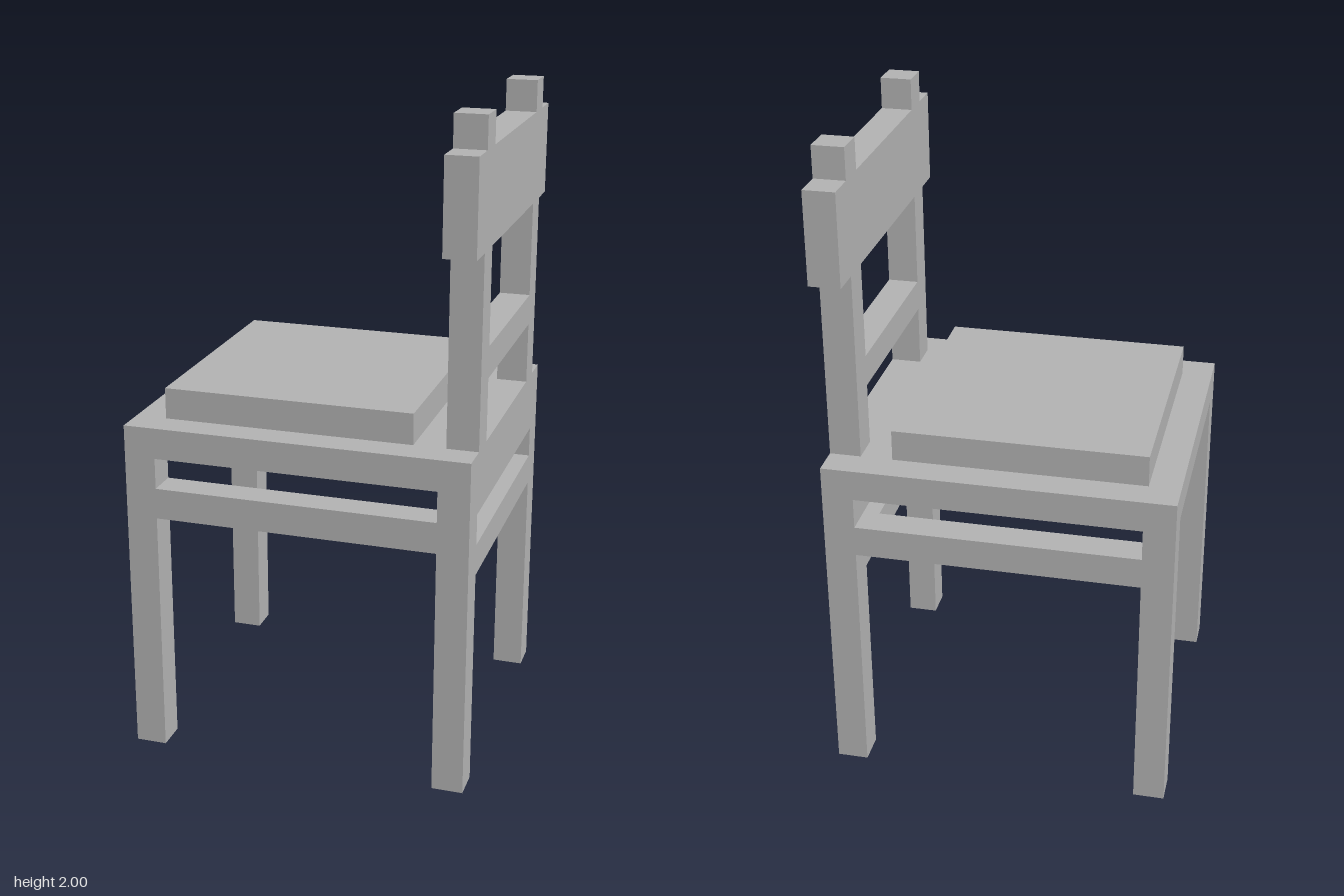
import * as THREE from 'three';

export function createModel() {
  const chair = new THREE.Group();
  chair.name = 'chair';
  const grey = new THREE.MeshStandardMaterial({ color: 0xb2b2b2 });
  grey.name = 'plain grey';

  // Adds a box spanning the given ranges
  function box(name, [x0, x1], [y0, y1], [z0, z1]) {
    const mesh = new THREE.Mesh(new THREE.BoxGeometry(x1 - x0, y1 - y0, z1 - z0), grey);
    mesh.name = name;
    mesh.position.set((x0 + x1) / 2, (y0 + y1) / 2, (z0 + z1) / 2);
    chair.add(mesh);
  }

  // Outer and inner faces of the legs
  const X = 0.525, XI = 0.43, Z = 0.475, ZI = 0.38;
  const back = [XI, X];

  // Seat and cushion
  box('seat', [-X, X], [0.955, 1.05], [-Z, Z]);
  box('cushion', [-XI, 0.333], [1.05, 1.145], [-ZI, ZI]);

  // Legs, side stretchers and backrest posts, mirrored in z
  for (const s of [-1, 1]) {
    const side = s > 0 ? [ZI, Z] : [-Z, -ZI];
    const post = s > 0 ? [0.286, ZI] : [-ZI, -0.286];
    box('openEndLeg', [-X, -XI], [0, 0.955], side);
    box('backrestLeg', back, [0, 0.955], side);
    box('sideStretcher', [-XI, XI], [0.765, 0.86], side);
    box('backrestPost', back, [1.05, 1.625], post);
    box('postTip', back, [1.905, 2], post);
  }

  // Rails between the legs under the backrest
  box('apron', back, [0.86, 0.955], [-ZI, ZI]);
  box('lowerStretcher', back, [0.67, 0.765], [-ZI, ZI]);

  // Backrest slats
  box('lowerSlat', back, [1.24, 1.335], [-0.286, 0.286]);
  box('topRail', back, [1.625, 1.905], [-Z, Z]);

  return chair;
}
